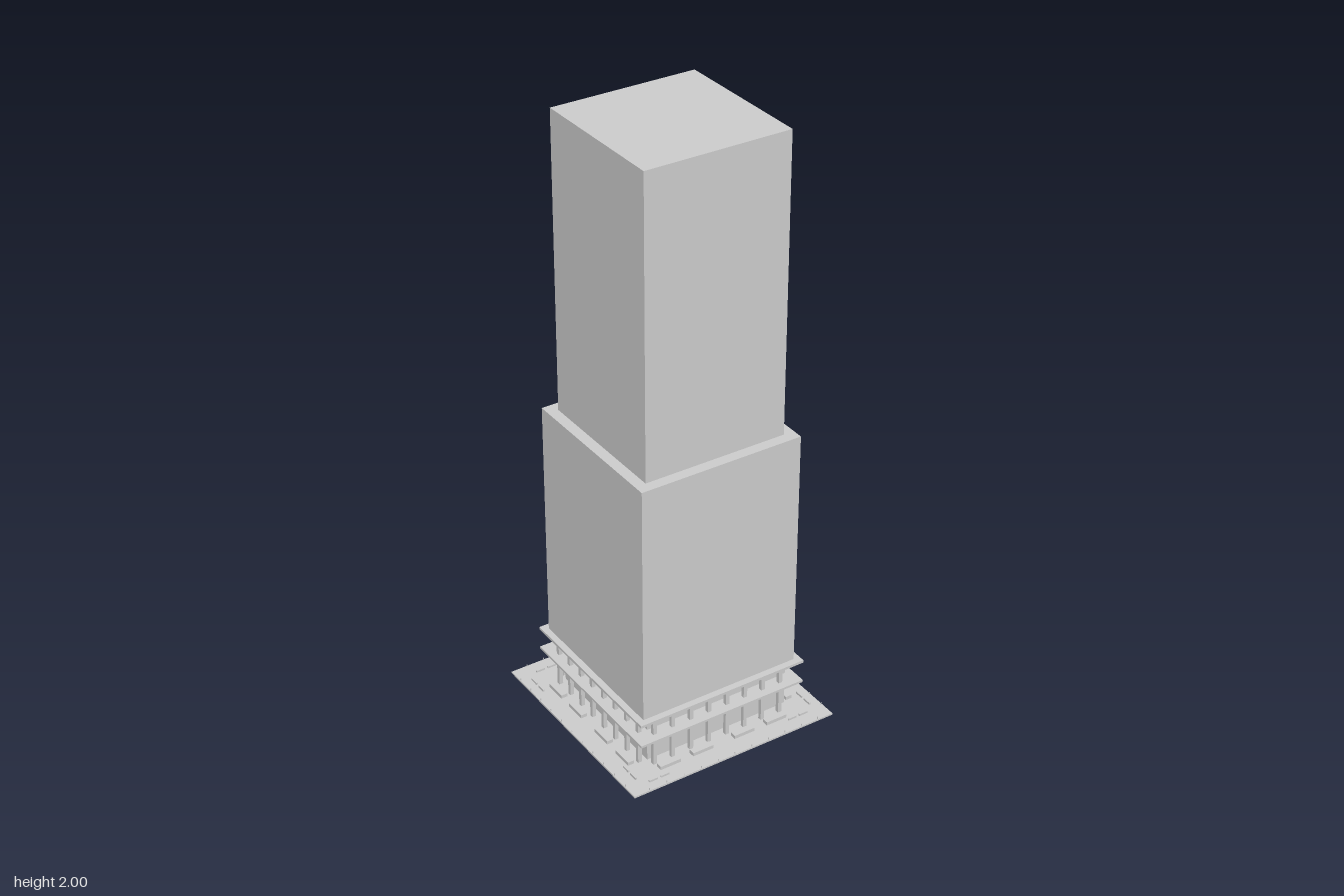
import * as THREE from 'three';

const material = new THREE.MeshStandardMaterial({ color: 0xcccccc, flatShading: true });

// Box given by its size, its centre in x and z, and its bottom
function box(parent, name, w, h, d, x, bottom, z) {
  const mesh = new THREE.Mesh(new THREE.BoxGeometry(w, h, d), material);
  mesh.name = name;
  mesh.position.set(x, bottom + h / 2, z);
  parent.add(mesh);
}

// Everything that repeats on each of the four sides of the plaza
function createSide() {
  const side = new THREE.Group();
  const ground = 0.006;

  // Colonnade, eight columns to a side
  for (let i = 0; i < 8; i++) {
    box(side, 'column', 0.013, 0.19 - ground, 0.013, (i - 3.5) * 0.0667, ground, 0.267);
  }

  // Low planters in front of the columns
  for (const x of [-0.198, -0.078, 0.076, 0.198]) {
    box(side, 'planter', 0.074, 0.012, 0.022, x, ground, 0.296);
  }

  // Pairs of benches near the corners
  for (const [x, z] of [[-0.28, 0.335], [-0.238, 0.335], [0.247, 0.322], [0.289, 0.322]]) {
    box(side, 'bench', 0.03, 0.007, 0.005, x, ground, z);
  }

  // Thin bollards along the edge
  for (let i = -5; i <= 5; i++) {
    box(side, 'bollard', 0.002, 0.008, 0.002, i * 0.0627, ground, 0.366);
  }
  return side;
}

export function createModel() {
  const model = new THREE.Group();
  model.name = 'tower';

  // Plaza, lobby core and the two canopy slabs
  box(model, 'plaza', 0.738, 0.006, 0.738, 0, 0, 0);
  box(model, 'lobbyCore', 0.484, 0.184, 0.484, 0, 0.006, 0);
  box(model, 'lowerSlab', 0.6, 0.008, 0.6, 0, 0.114, 0);
  box(model, 'upperSlab', 0.6, 0.009, 0.6, 0, 0.19, 0);

  // Stepped tower
  box(model, 'lowerTower', 0.556, 0.817, 0.556, 0, 0.199, 0);
  box(model, 'upperTower', 0.484, 0.984, 0.484, 0, 1.016, 0);

  // Four turned copies of the side furniture
  ['front', 'left', 'back', 'right'].forEach((label, i) => {
    const side = createSide();
    side.name = label + 'Side';
    side.rotation.y = i * Math.PI / 2;
    model.add(side);
  });
  return model;
}
